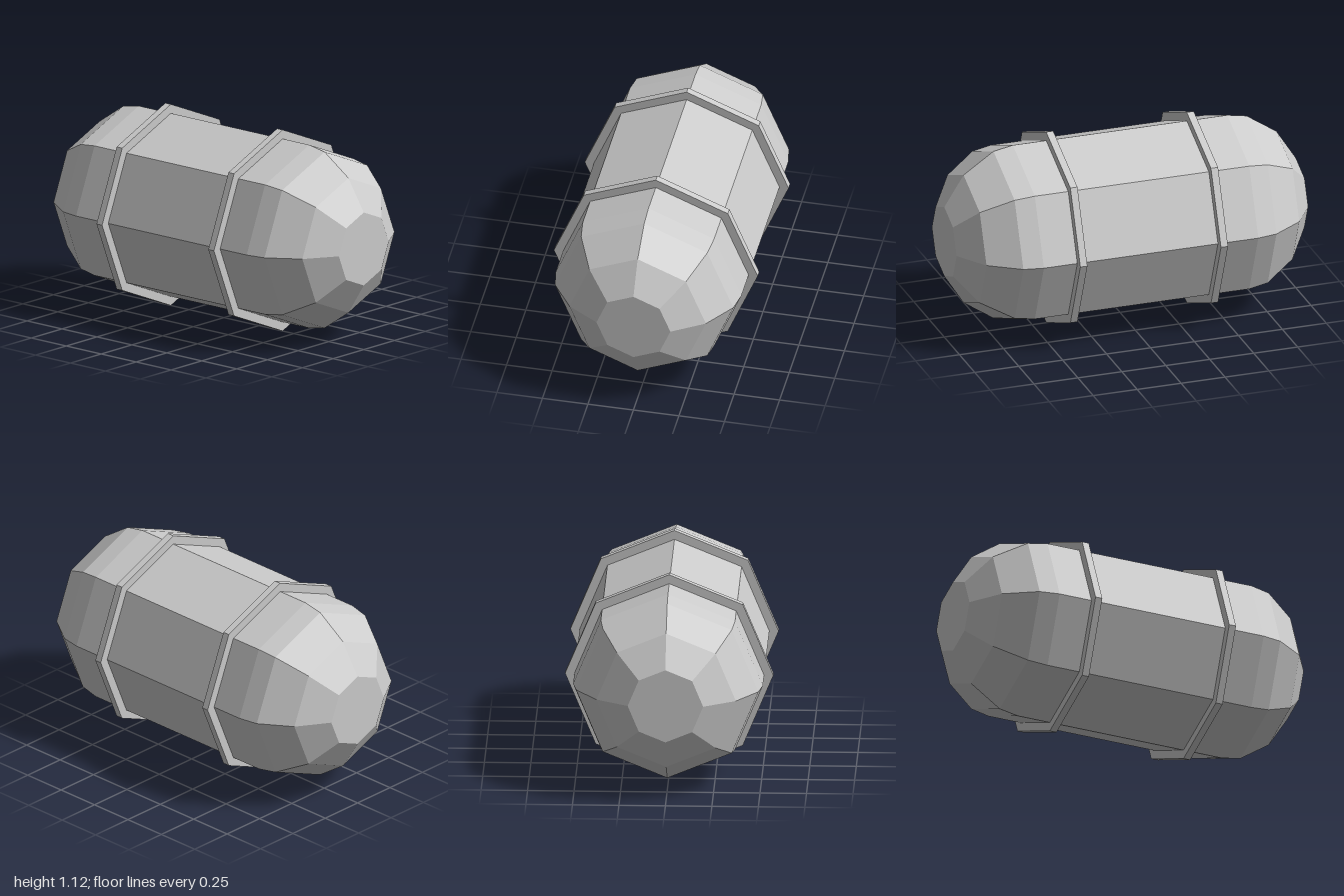
import * as THREE from 'three';

const SIDES = 8;
const RADIUS = 0.56; // outer radius of the bands, on which the capsule rests

// Faceted solid of revolution along x from [x, radius] pairs
function turned(name, profile, material) {
  const points = profile.map(([x, r]) => new THREE.Vector2(r, x));
  const geometry = new THREE.LatheGeometry(points, SIDES).rotateZ(-Math.PI / 2).toNonIndexed();
  geometry.computeVertexNormals();
  const mesh = new THREE.Mesh(geometry, material);
  mesh.name = name;
  mesh.position.y = RADIUS;
  return mesh;
}

export function createModel() {
  const group = new THREE.Group();
  group.name = 'bandedCapsule';
  const material = new THREE.MeshStandardMaterial({ color: 0xcccccc, flatShading: true });

  // Body: straight barrel with rounded, flat-tipped ends
  const half = [[0.61, 0.51], [0.72, 0.49], [0.89, 0.375], [1, 0.203], [1, 0]];
  const mirrored = half.map(([x, r]) => [-x, r]).reverse();
  group.add(turned('body', [...mirrored, ...half], material));

  // Two raised bands around the barrel
  for (const side of [-1, 1]) {
    const band = turned(
      side > 0 ? 'leftBand' : 'rightBand',
      [[-0.02, 0.48], [-0.02, RADIUS], [0.02, RADIUS], [0.02, 0.48], [-0.02, 0.48]],
      material
    );
    band.position.x = side * 0.4;
    group.add(band);
  }
  return group;
}
